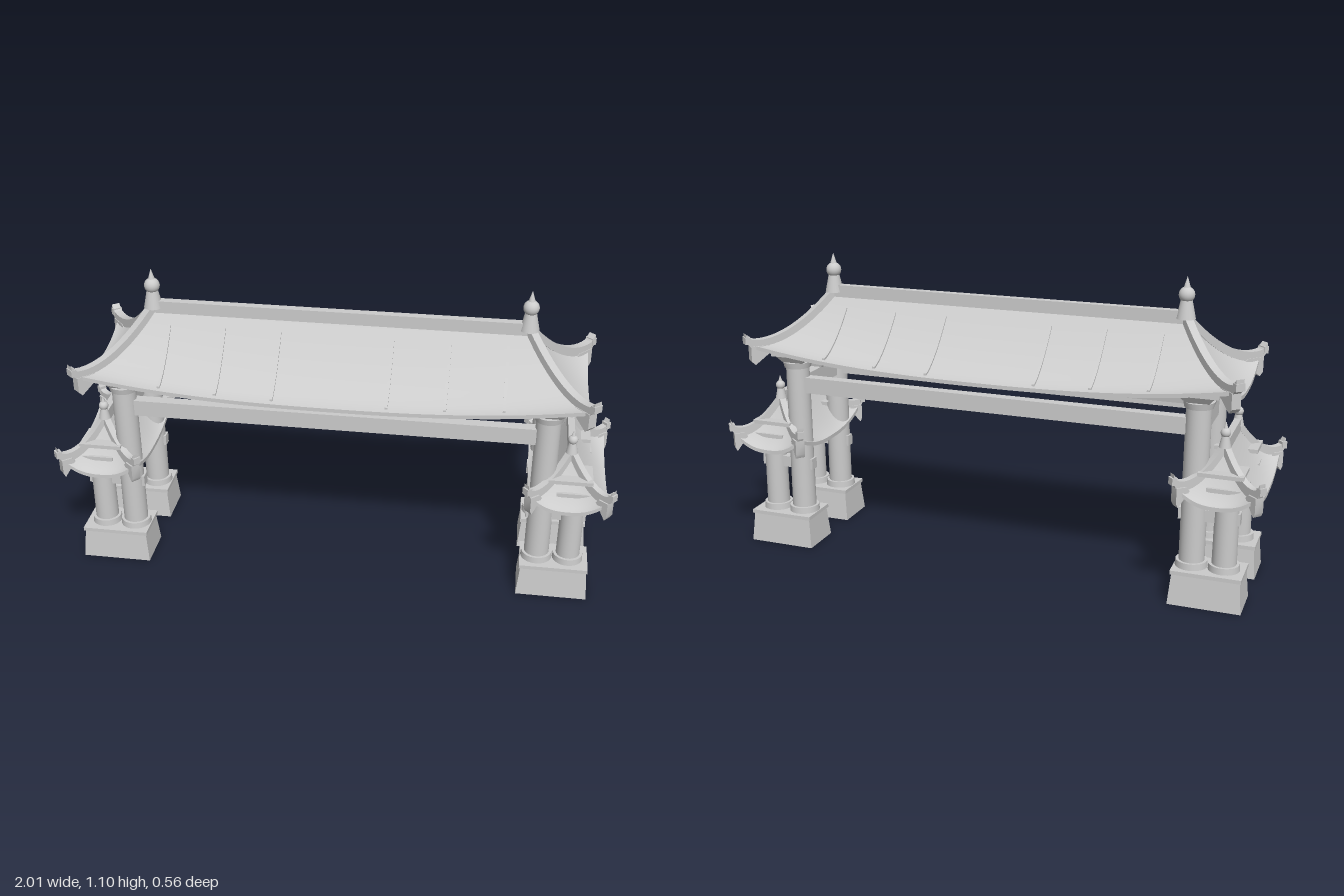
import * as THREE from 'three';
import { mergeGeometries, toCreasedNormals } from 'three/addons/utils/BufferGeometryUtils.js';

const mat = new THREE.MeshStandardMaterial({ color: 0xcccccc });
const matThin = new THREE.MeshStandardMaterial({ color: 0xcccccc, side: THREE.DoubleSide });

function add(parent, name, geo, x = 0, y = 0, z = 0, material = mat) {
  const m = new THREE.Mesh(geo, material);
  m.name = name;
  m.position.set(x, y, z);
  parent.add(m);
  return m;
}
const box = (w, h, d) => new THREE.BoxGeometry(w, h, d);

// Box with a different size at top and bottom
function taperedBox(wTop, dTop, wBot, dBot, h) {
  const g = box(1, h, 1), p = g.attributes.position;
  for (let i = 0; i < p.count; i++) {
    const top = p.getY(i) > 0;
    p.setX(i, p.getX(i) * (top ? wTop : wBot));
    p.setZ(i, p.getZ(i) * (top ? dTop : dBot));
  }
  g.computeVertexNormals();
  return g;
}

// Vertical outline (distance, height) given a width and centred on its plane
function plate(outline, width) {
  const g = new THREE.ExtrudeGeometry(new THREE.Shape(outline.map(p => new THREE.Vector2(...p))),
    { depth: width, bevelEnabled: false });
  g.translate(0, 0, -width / 2);
  return toCreasedNormals(g, 0.5);
}
// Bar that follows a curve, from `low` below to `high` above it
const bar = (path, low, high, width) => plate(
  [...path.map(([d, y]) => [d, y - low]), ...path.slice().reverse().map(([d, y]) => [d, y + high])], width);

// Height of the curved roof: t runs from ridge to eave, s along the side
const roofY = (o, t, s) => o.eave + o.rise * Math.pow(Math.max(0, 1 - t), 1.5)
  + o.lift * Math.pow(Math.abs(s), 2.5) * t * t + Math.max(0, t - 1) * 0.25;

// One of the four slopes: upper skin, under skin and eave edge
function slope(o, endSide, sign) {
  const NS = 32, NT = 14, parts = [];
  const point = (t, s, drop) => {
    const hx = o.ridge + (o.ex - o.ridge) * t, hz = o.ez * t, y = roofY(o, t, s) - drop;
    return endSide ? [sign * hx, y, -sign * s * hz] : [sign * s * hx, y, sign * hz];
  };
  const grid = (rows, f) => {
    const pos = [], idx = [];
    for (let j = 0; j <= rows; j++)
      for (let i = 0; i <= NS; i++) pos.push(...f(j / rows, i / NS * 2 - 1));
    for (let j = 0; j < rows; j++)
      for (let i = 0; i < NS; i++) {
        const a = j * (NS + 1) + i, b = a + NS + 1;
        idx.push(a, b, a + 1, a + 1, b, b + 1);
      }
    const g = new THREE.BufferGeometry();
    g.setAttribute('position', new THREE.Float32BufferAttribute(pos, 3));
    g.setIndex(idx);
    g.computeVertexNormals();
    parts.push(g);
  };
  grid(NT, (t, s) => point(t, s, 0));
  grid(NT, (t, s) => point(t, -s, 0.014));
  grid(1, (v, s) => point(1, s, 0.014 * v));
  return mergeGeometries(parts);
}

function finial(parent, x, y, k) {
  const g = new THREE.Group();
  g.name = 'finial';
  g.position.set(x, y, 0);
  g.scale.setScalar(k);
  add(g, 'finialBase', new THREE.CylinderGeometry(0.02, 0.034, 0.065, 20), 0, 0.03, 0);
  add(g, 'finialBall', new THREE.SphereGeometry(0.028, 20, 14), 0, 0.08, 0);
  add(g, 'finialSpike', new THREE.ConeGeometry(0.014, 0.045, 16), 0, 0.121, 0);
  parent.add(g);
}

// Hipped roof with its ridge along x
function makeRoof(name, o) {
  const roof = new THREE.Group();
  roof.name = name;
  for (const sign of [1, -1]) {
    add(roof, 'longSlope', slope(o, false, sign), 0, 0, 0, matThin);
    add(roof, 'endSlope', slope(o, true, sign), 0, 0, 0, matThin);
    finial(roof, sign * o.ridge, o.eave + o.rise, o.finial);
  }
  const top = o.eave + o.rise;
  add(roof, 'ridgeBeam', box(o.ridge * 2 + 0.02, 0.045, o.bar), 0, top + 0.0025, 0);

  // Hip ridges with upturned tips and a bracket under each corner
  const dx = o.ex - o.ridge, len = Math.hypot(dx, o.ez), path = [];
  for (let i = 0; i <= 16; i++) {
    const t = i / 16 * 1.06;
    path.push([t * len, roofY(o, t, 1)]);
  }
  const yc = roofY(o, 1, 1);
  const bracket = [[len * 0.74, yc - 0.02], [len * 0.97, yc - 0.075], [len * 1.01, yc - 0.06],
    [len * 1.01, yc - 0.005], [len * 0.8, yc - 0.005]];
  for (const sx of [1, -1])
    for (const sz of [1, -1]) {
      const hip = new THREE.Group();
      hip.name = 'hip';
      hip.position.x = sx * o.ridge;
      hip.rotation.y = Math.atan2(-sz * o.ez, sx * dx);
      add(hip, 'hipRidge', bar(path, 0.012, 0.022, o.bar));
      add(hip, 'hipTip', box(0.02, 0.026, o.bar * 1.15), len * 1.04, yc + 0.018, 0);
      add(hip, 'cornerBracket', plate(bracket, 0.035));
      roof.add(hip);
    }

  // Raised tile ribs on the long slopes
  for (const x of o.ribs)
    for (const side of [1, -1]) {
      const rib = [];
      for (let i = 0; i <= 12; i++) {
        const t = 0.17 + 0.77 * i / 12;
        rib.push([t * o.ez, roofY(o, t, x / (o.ridge + dx * t))]);
      }
      add(roof, 'tileRib', bar(rib, 0.005, 0.007, 0.01), x).rotation.y = -side * Math.PI / 2;
    }
  return roof;
}

// Round column with base ring, capital and stacked slabs
function column(parent, name, x, z, top, r, slabY, slabW) {
  const g = new THREE.Group();
  g.name = name;
  g.position.set(x, 0, z);
  add(g, 'shaft', new THREE.CylinderGeometry(r * 0.96, r, top - 0.12, 28), 0, (top + 0.12) / 2, 0);
  add(g, 'baseRing', new THREE.CylinderGeometry(r + 0.01, r + 0.012, 0.024, 28), 0, 0.136, 0);
  add(g, 'capital', new THREE.CylinderGeometry(r + 0.009, r + 0.004, 0.022, 28), 0, top - 0.011, 0);
  add(g, 'lowerSlab', taperedBox(0.12, 0.11, 0.08, 0.08, slabY - top), 0, (top + slabY) / 2, 0);
  add(g, 'upperSlab', box(slabW, 0.015, 0.12), 0, slabY + 0.0075, 0);
  parent.add(g);
}

export function createModel() {
  const gate = new THREE.Group();
  gate.name = 'gateway';

  gate.add(makeRoof('mainRoof', { ridge: 0.667, ex: 0.89, ez: 0.25, eave: 0.73, rise: 0.23,
    lift: 0.06, bar: 0.03, finial: 1, ribs: [-0.6, -0.4, -0.2, 0.2, 0.4, 0.6] }));

  for (const s of [1, -1]) {
    const side = new THREE.Group();
    side.name = s > 0 ? 'leftSide' : 'rightSide';
    gate.add(side);

    const roof = makeRoof('sideRoof', { ridge: 0.13, ex: 0.25, ez: 0.14, eave: 0.385, rise: 0.175,
      lift: 0.06, bar: 0.024, finial: 0.62, ribs: [] });
    roof.position.x = s * 0.845;
    roof.rotation.y = Math.PI / 2;
    side.add(roof);

    for (const z of [0.15, -0.15]) {
      // Pedestal and its two columns
      add(side, 'pedestal', taperedBox(0.235, 0.14, 0.255, 0.16, 0.112), s * 0.818, 0.056, z);
      add(side, 'pedestalCap', box(0.245, 0.014, 0.153), s * 0.818, 0.118, z);
      column(side, 'mainColumn', s * 0.755, z, 0.718, 0.045, 0.742, 0.15);
      column(side, 'outerColumn', s * 0.868, z, 0.4, 0.043, 0.42, 0.13);
      add(side, 'bracketSlab', box(0.155, 0.014, 0.117), s * 0.848, 0.478, z);
      add(side, 'shortTie', box(0.212, 0.042, 0.035), s * 0.81, 0.317, z);
    }
    add(side, 'lowerTie', box(0.035, 0.042, 0.3), s * 0.868, 0.317, 0);
    add(side, 'upperTie', box(0.045, 0.065, 0.3), s * 0.755, 0.628, 0);
    add(side, 'endBlock', taperedBox(0.09, 0.054, 0.05, 0.03, 0.055), s * 0.755, 0.687, 0);
  }

  // Long beams across the opening
  for (const z of [0.15, -0.15]) add(gate, 'longBeam', box(1.5, 0.06, 0.04), 0, 0.63, z);
  add(gate, 'centreBeam', taperedBox(1.44, 0.046, 1.44, 0.022, 0.065), 0, 0.692, 0);
  add(gate, 'centreBlock', taperedBox(0.09, 0.056, 0.05, 0.036, 0.05), 0, 0.692, 0);
  return gate;
}
